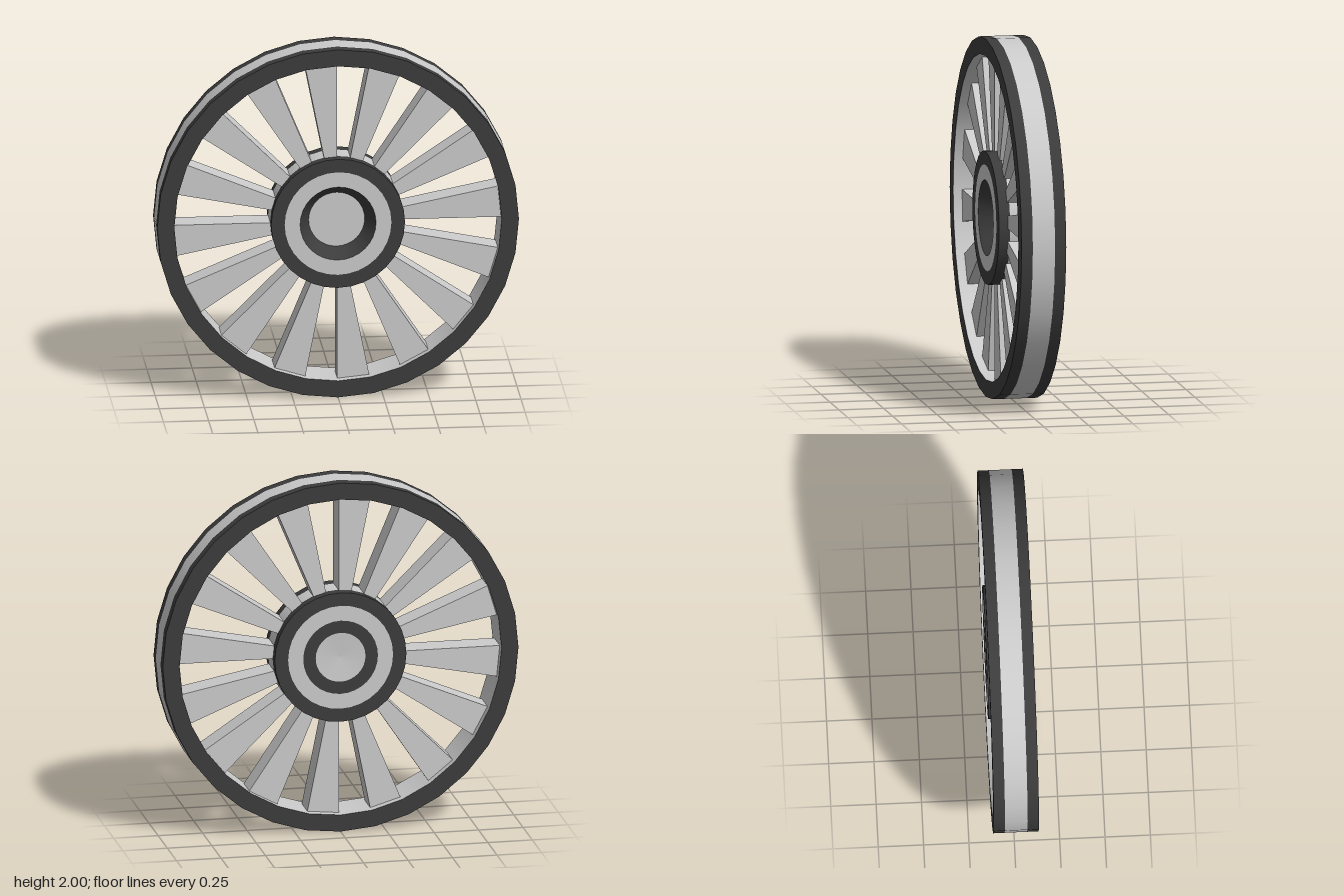
import * as THREE from 'three';
import { mergeGeometries } from 'three/addons/utils/BufferGeometryUtils.js';

const SIDES = 32, SPOKES = 16;
const HALF = 0.125;   // half the wheel's width
const BAND = 0.0625;  // half the width of the light tread band
const RIM_IN = 0.905, HUB = 0.37, HUB_LIP = 0.295, BORE = 0.21;

const grey = new THREE.MeshStandardMaterial({ color: 0xcccccc });
const dark = new THREE.MeshStandardMaterial({ color: 0x3c3c3c });

// Surfaces turned about the z axis from [radius, z] profiles, with a sharp edge at every point
function turned(name, material, ...profiles) {
  const parts = [];
  for (const p of profiles) {
    for (let i = 0; i < p.length - 1; i++) {
      const pair = [p[i], p[i + 1]].map(([r, z]) => new THREE.Vector2(r, z));
      parts.push(new THREE.LatheGeometry(pair, SIDES).rotateX(Math.PI / 2));
    }
  }
  const mesh = new THREE.Mesh(mergeGeometries(parts), material);
  mesh.name = name;
  return mesh;
}

// One radial wedge, filling every second segment of the wheel
function spokeGeometry() {
  const a = (Math.PI * 2) / SIDES, r0 = 0.35, r1 = 0.915, thick = 0.15;
  const shape = new THREE.Shape([
    new THREE.Vector2(r0, 0),
    new THREE.Vector2(r1, 0),
    new THREE.Vector2(r1 * Math.cos(a), r1 * Math.sin(a)),
    new THREE.Vector2(r0 * Math.cos(a), r0 * Math.sin(a)),
  ]);
  return new THREE.ExtrudeGeometry(shape, { depth: thick, bevelEnabled: false })
    .translate(0, 0, -thick / 2);
}

export function createModel() {
  const model = new THREE.Group();
  model.name = 'wheel';

  // Rim: light tread and inner wall between two dark edge rings
  const rim = new THREE.Group();
  rim.name = 'rim';
  rim.add(
    turned('rimBand', grey,
      [[1, -BAND], [1, BAND]],
      [[RIM_IN, HALF], [RIM_IN, -HALF]]),
    turned('rimEdgeRings', dark,
      [[1, BAND], [1, HALF], [RIM_IN, HALF]],
      [[RIM_IN, -HALF], [1, -HALF], [1, -BAND]]),
  );

  // Hub: barrel with dark lips, a tapered recess in front and a closed back
  const hub = new THREE.Group();
  hub.name = 'hub';
  hub.add(
    turned('hubBarrel', grey, [[HUB, -BAND], [HUB, BAND]]),
    turned('hubLips', dark,
      [[HUB, BAND], [HUB, HALF], [HUB_LIP, HALF]],
      [[HUB_LIP, -HALF], [HUB, -HALF], [HUB, -BAND]]),
    turned('hubFaces', grey,
      [[HUB_LIP, HALF], [BORE, HALF]],
      [[BORE, -HALF], [HUB_LIP, -HALF]]),
    turned('frontRecess', dark, [[BORE, HALF], [0.155, 0.04]]),
    turned('recessFloor', grey, [[0.155, 0.04], [0, 0.04]]),
    turned('backRing', dark, [[0.14, -HALF], [BORE, -HALF]]),
    turned('backCap', grey, [[0, -0.115], [0.14, -HALF]]),
  );

  // Spokes
  const spokes = new THREE.Group();
  spokes.name = 'spokes';
  const geometry = spokeGeometry();
  for (let i = 0; i < SPOKES; i++) {
    const spoke = new THREE.Mesh(geometry, grey);
    spoke.name = 'spoke';
    spoke.rotation.z = (i * Math.PI * 2) / SPOKES;
    spokes.add(spoke);
  }

  model.add(rim, hub, spokes);
  model.children.forEach((part) => { part.position.y = 1; });
  return model;
}
